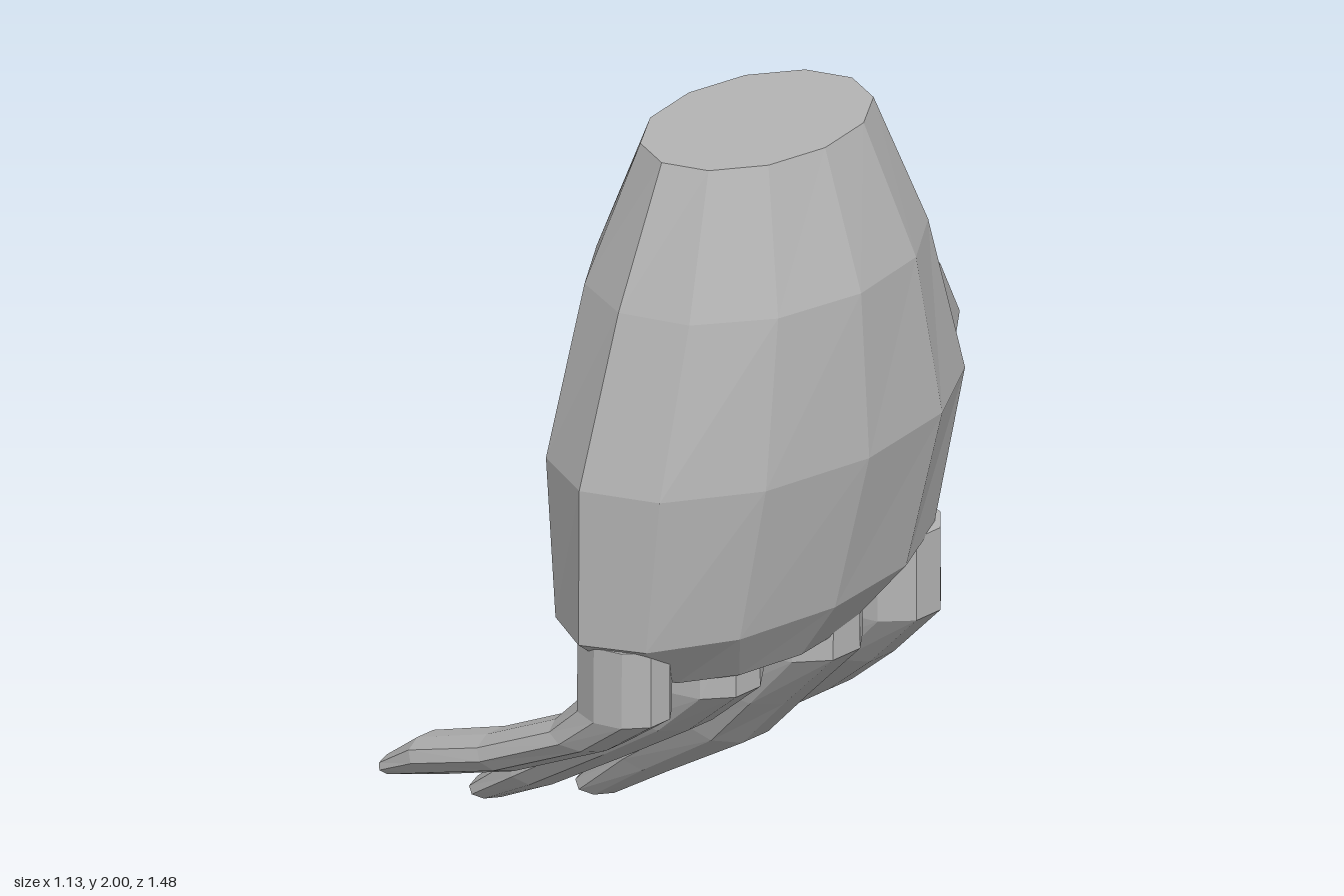
import * as THREE from 'three';

const V = (x, y, z) => new THREE.Vector3(x, y, z);

// Capped tube through rings; each ring is { c: centre, a, b: half axes }, with a x b along the path
function loft(rings, sides, offset, material, name) {
  const pos = [], index = [];
  for (const { c, a, b } of rings) {
    for (let k = 0; k < sides; k++) {
      const t = offset + (k / sides) * Math.PI * 2;
      const p = c.clone().addScaledVector(a, Math.cos(t)).addScaledVector(b, Math.sin(t));
      pos.push(p.x, p.y, p.z);
    }
  }
  const last = (rings.length - 1) * sides;
  for (let i = 0; i < last; i += sides) {
    for (let k = 0; k < sides; k++) {
      const n = (k + 1) % sides;
      index.push(i + k, i + n, i + sides + n, i + k, i + sides + n, i + sides + k);
    }
  }
  for (let k = 1; k < sides - 1; k++) {
    index.push(0, k + 1, k, last, last + k, last + k + 1);
  }
  const geometry = new THREE.BufferGeometry();
  geometry.setAttribute('position', new THREE.Float32BufferAttribute(pos, 3));
  geometry.setIndex(index);
  const flat = geometry.toNonIndexed();
  flat.computeVertexNormals();
  const mesh = new THREE.Mesh(flat, material);
  mesh.name = name;
  return mesh;
}

export function createModel() {
  const group = new THREE.Group();
  group.name = 'hand';
  const grey = new THREE.MeshStandardMaterial({ color: 0xb4b4b4, flatShading: true });
  grey.name = 'grey';
  const HALF_STEP = Math.PI / 10;      // ten-sided rings start on a flat
  const FLAT = Math.cos(HALF_STEP);

  // Palm and wrist: y, centre x, centre z, radius x, radius z
  const palm = [
    [2.0, 0.185, 0.11, 0.228, 0.335],
    [1.65, 0.185, 0.112, 0.35, 0.485],
    [1.22, 0.185, 0.115, 0.38, 0.62],
    [0.81, 0.187, 0.155, 0.302, 0.585],
    [0.66, 0.183, 0.175, 0.212, 0.375],
  ].map(([y, x, z, rx, rz]) => ({ c: V(x, y, z), a: V(rx, 0, 0), b: V(0, 0, rz) }));
  group.add(loft(palm, 12, 0, grey, 'palm'));

  // Fingers: z, then rings of back-side x, y, palm-side x, y, half width
  const fingers = {
    littleFinger: [0.602, [
      [0.33, 0.8, 0.09, 0.8, 0.108], [0.33, 0.6, 0.09, 0.6, 0.11], [0.18, 0.49, 0.01, 0.52, 0.11],
      [-0.13, 0.335, -0.22, 0.405, 0.105], [-0.38, 0.245, -0.455, 0.32, 0.092], [-0.52, 0.2, -0.565, 0.235, 0.07]]],
    ringFinger: [0.325, [
      [0.36, 0.82, 0.07, 0.82, 0.13], [0.36, 0.6, 0.07, 0.6, 0.138], [0.2, 0.46, 0.02, 0.52, 0.14],
      [0.0, 0.33, -0.15, 0.385, 0.132], [-0.26, 0.165, -0.38, 0.22, 0.115], [-0.44, 0.07, -0.52, 0.1, 0.088]]],
    middleFinger: [0.005, [
      [0.385, 0.82, 0.05, 0.82, 0.145], [0.385, 0.6, 0.05, 0.6, 0.155], [0.22, 0.43, 0.01, 0.5, 0.155],
      [0.08, 0.28, -0.11, 0.38, 0.145], [-0.175, 0.12, -0.31, 0.2, 0.127], [-0.36, 0.0, -0.46, 0.035, 0.105]]],
    indexFinger: [-0.293, [
      [0.375, 0.82, 0.04, 0.82, 0.135], [0.375, 0.6, 0.04, 0.6, 0.138], [0.22, 0.44, 0.01, 0.52, 0.138],
      [0.08, 0.32, -0.11, 0.4, 0.13], [-0.14, 0.17, -0.26, 0.24, 0.112], [-0.3, 0.08, -0.385, 0.115, 0.088]]],
  };
  for (const [name, [z, profile]] of Object.entries(fingers)) {
    const rings = profile.map(([bx, by, px, py, w]) => ({
      c: V((bx + px) / 2, (by + py) / 2, z),
      a: V((bx - px) / 2, (by - py) / 2, 0).divideScalar(FLAT),
      b: V(0, 0, w),
    }));
    group.add(loft(rings, 10, HALF_STEP, grey, name));
  }

  // Thumb: centre x, y, z, radius, and heading of the flat outer side
  const thumb = [
    [0.118, 1.435, -0.3, 0.215, -1.92],
    [0.03, 1.215, -0.485, 0.2, -1.95],
    [-0.135, 0.98, -0.555, 0.19, -2.1],
    [-0.245, 0.735, -0.505, 0.15, -2.25],
    [-0.29, 0.645, -0.455, 0.07, -2.35],
  ].map(([x, y, z, r, t]) => ({
    c: V(x, y, z),
    a: V(Math.cos(t) * r, 0, Math.sin(t) * r),
    b: V(-Math.sin(t) * r, 0, Math.cos(t) * r),
  }));
  group.add(loft(thumb, 10, HALF_STEP, grey, 'thumb'));

  return group;
}
